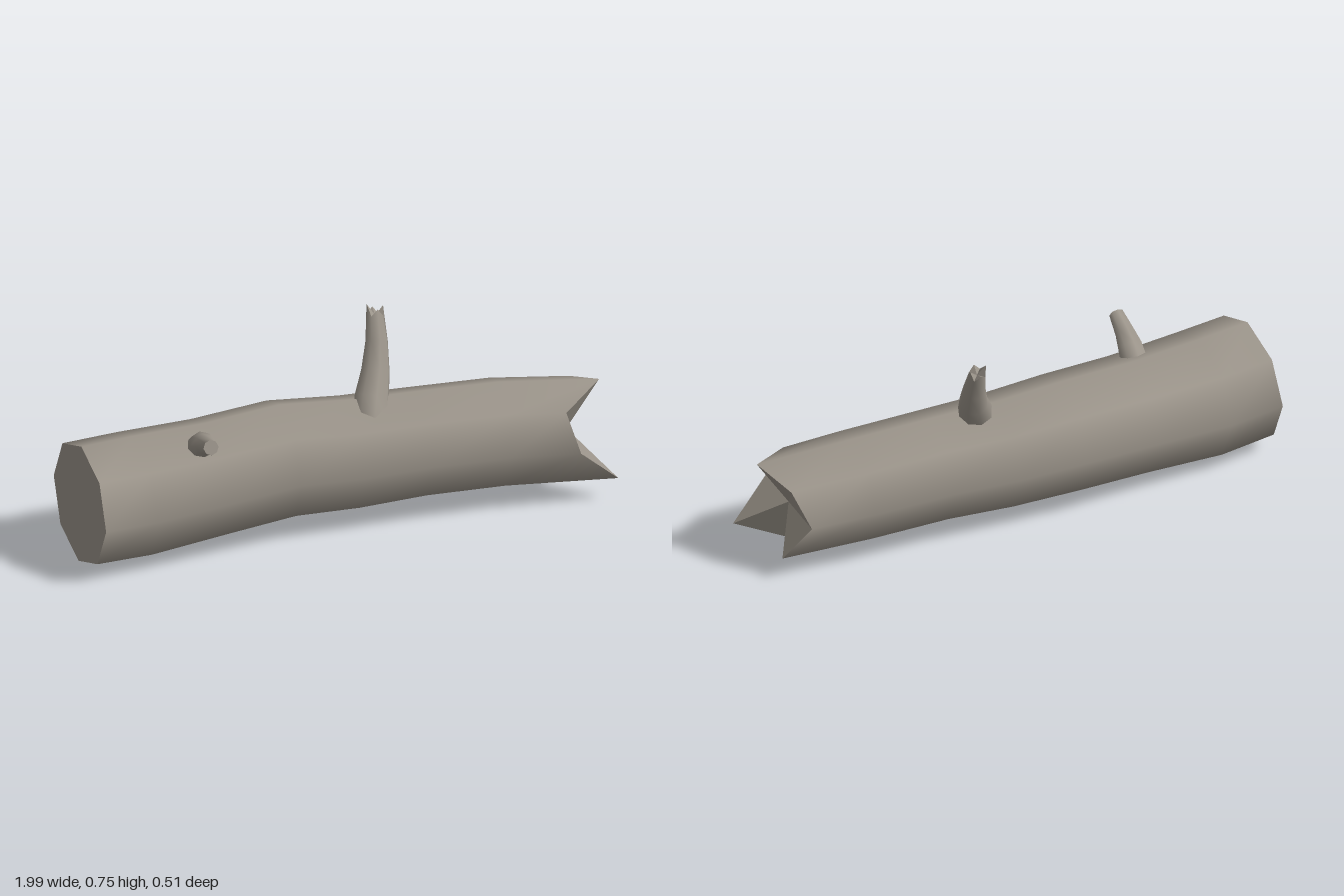
import * as THREE from 'three';

const bark = new THREE.MeshStandardMaterial({ color: 0x9c958b });
bark.name = 'weatheredBark';

const SIDES = 8;

// Cross-sections [x, y, z, radius] swept along their own centreline.
// teeth: how far each point of the last ring is pushed along the axis.
function makeRings(sections, reference, teeth) {
  const centres = sections.map(([x, y, z]) => new THREE.Vector3(x, y, z));
  return sections.map((section, i) => {
    const last = sections.length - 1;
    const dir = centres[Math.min(i + 1, last)].clone()
      .sub(centres[Math.max(i - 1, 0)]).normalize();
    const u = reference.clone().addScaledVector(dir, -reference.dot(dir)).normalize();
    const v = dir.clone().cross(u);
    return Array.from({ length: SIDES }, (_, j) => {
      const a = (j / SIDES) * Math.PI * 2;
      const p = centres[i].clone()
        .addScaledVector(u, section[3] * Math.cos(a))
        .addScaledVector(v, section[3] * Math.sin(a));
      return i === last ? p.addScaledVector(dir, teeth[j]) : p;
    });
  });
}

function meshFrom(points, index, name) {
  let geometry = new THREE.BufferGeometry().setFromPoints(points);
  geometry.setIndex(index);
  if (name.endsWith('End')) geometry = geometry.toNonIndexed(); // faceted ends
  geometry.computeVertexNormals();
  const mesh = new THREE.Mesh(geometry, bark);
  mesh.name = name;
  return mesh;
}

// Smooth side wall joining all rings
function wall(rings, name) {
  const index = [];
  for (let i = 0; i < rings.length - 1; i++) {
    for (let j = 0; j < SIDES; j++) {
      const k = (j + 1) % SIDES;
      const a = i * SIDES + j, b = i * SIDES + k;
      index.push(a, b, a + SIDES, b, b + SIDES, a + SIDES);
    }
  }
  return meshFrom(rings.flat(), index, name);
}

// Fan closing one ring around a centre point
function cap(ring, [x, y, z], reversed, name) {
  const index = [];
  for (let j = 0; j < SIDES; j++) {
    const k = (j + 1) % SIDES;
    index.push(SIDES, reversed ? k : j, reversed ? j : k);
  }
  return meshFrom([...ring, new THREE.Vector3(x, y, z)], index, name);
}

function limb(name, sections, reference, teeth) {
  const group = new THREE.Group();
  group.name = name;
  const rings = makeRings(sections, reference, teeth);
  group.add(
    wall(rings, name + 'Bark'),
    cap(rings[0], sections[0], true, name + 'SawnEnd'),
    cap(rings.at(-1), sections.at(-1), false, name + 'BrokenEnd'),
  );
  return group;
}

export function createModel() {
  const model = new THREE.Group();
  model.name = 'fallenLog';
  const up = new THREE.Vector3(0, 1, 0);
  const side = new THREE.Vector3(1, 0, 0);

  // Gently winding trunk, sawn at one end and splintered at the other
  model.add(limb('trunk', [
    [-0.98, 0.245, 0, 0.232],
    [-0.77, 0.24, -0.015, 0.235],
    [-0.48, 0.25, -0.025, 0.222],
    [-0.2, 0.267, -0.037, 0.22],
    [0.05, 0.257, -0.018, 0.212],
    [0.3, 0.262, 0, 0.204],
    [0.6, 0.257, 0.022, 0.203],
    [0.85, 0.243, 0.058, 0.195],
  ], up, [0.11, -0.035, 0.015, 0.17, -0.06, 0.08, -0.02, 0.03]));

  // Tall curved branch with a splintered tip
  model.add(limb('tallBranch', [
    [0.115, 0.39, 0.02, 0.07],
    [0.14, 0.46, -0.025, 0.064],
    [0.172, 0.54, -0.075, 0.053],
    [0.193, 0.63, -0.122, 0.042],
    [0.2, 0.715, -0.155, 0.031],
  ], side, [0.035, 0, 0.03, 0.005, 0.045, 0, 0.025, 0]));

  // Short stub with a clean tip
  model.add(limb('shortBranch', [
    [-0.54, 0.385, 0.02, 0.056],
    [-0.547, 0.455, 0.09, 0.047],
    [-0.552, 0.478, 0.135, 0.038],
    [-0.56, 0.51, 0.22, 0.028],
  ], side, new Array(SIDES).fill(0)));

  return model;
}
